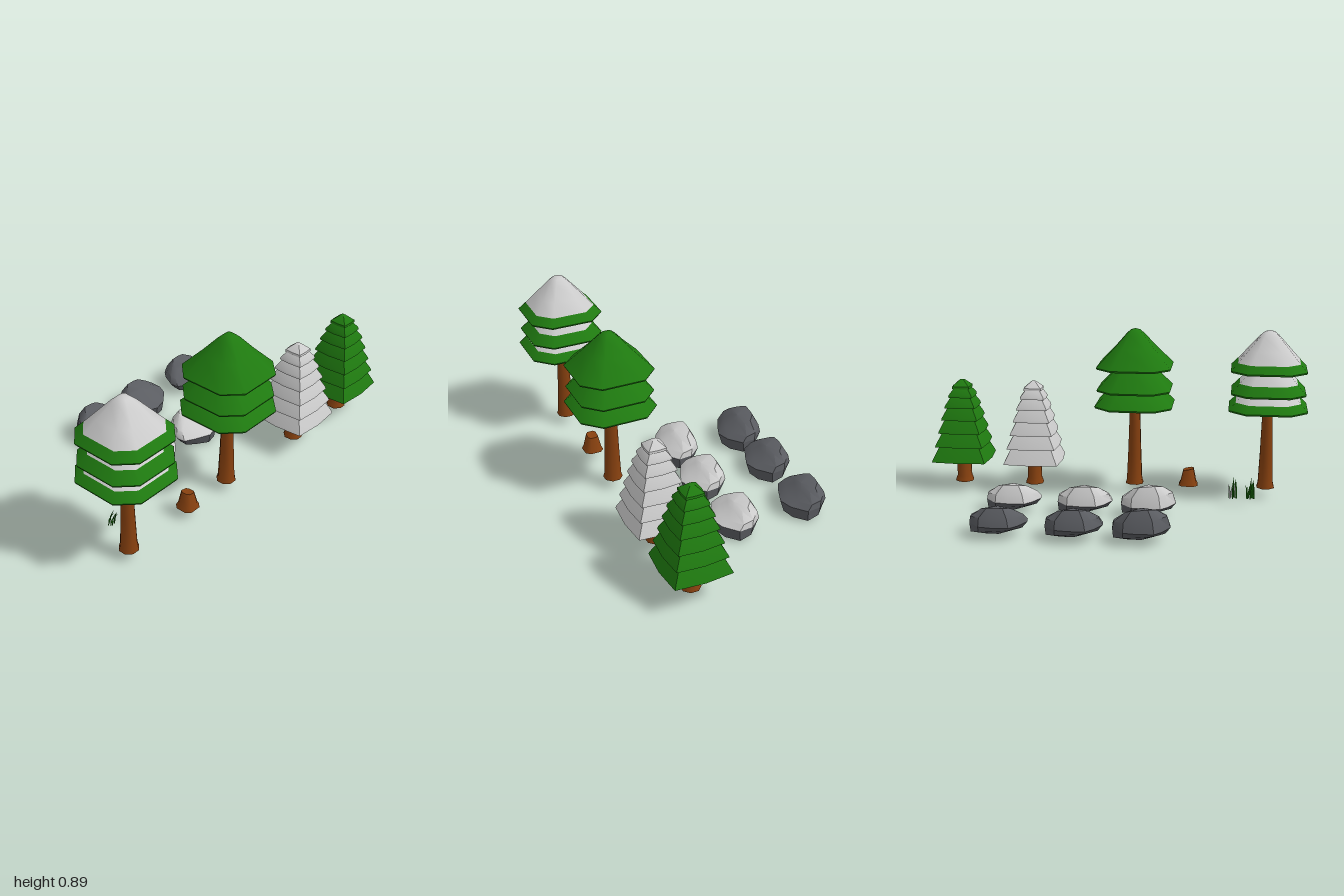
import * as THREE from 'three';
import { toCreasedNormals } from 'three/addons/utils/BufferGeometryUtils.js';

const mat = (color) => new THREE.MeshStandardMaterial({ color, roughness: 0.9, side: THREE.DoubleSide });
const GREEN = mat(0x1f7a10), BROWN = mat(0x86400f), STONE = mat(0x5a5c61), SNOW = mat(0xcccccc);

// Plan outlines running from +x towards +z
const turn4 = (pts) => [0, 1, 2, 3].flatMap((k) => pts.map(([x, z]) => {
  for (let i = 0; i < k; i++) [x, z] = [-z, x];
  return [x, z];
}));
const CHAMFERED = turn4([[1, -0.57], [1, 0.57]]);
const BOWED = turn4([[1, 0], [0.92, 0.92]]);
const BOULDER = [[1, 0.3], [0.5, 0.82], [0, 1], [-0.55, 0.72], [-0.96, 0.45], [-1, 0.05],
  [-0.75, -0.6], [-0.5, -0.96], [0.1, -1], [0.55, -0.92], [0.95, -0.35]];

// Skin over scaled copies of an outline; ring = [y, scaleX, scaleZ, shiftX, shiftZ, tiltX, tiltZ]
function loft(outline, rings, crease = 0.9) {
  const pos = [], n = outline.length;
  const point = ([y, sx, sz = sx, cx = 0, cz = 0, tx = 0, tz = 0], j) => {
    const [x, z] = outline[j % n];
    return [cx + x * sx, y + x * sx * tx + z * sz * tz, cz + z * sz];
  };
  for (let i = 0; i + 1 < rings.length; i++) {
    for (let j = 0; j < n; j++) {
      const a = point(rings[i], j), b = point(rings[i], j + 1);
      const c = point(rings[i + 1], j + 1), d = point(rings[i + 1], j);
      if (rings[i + 1][1] > 0) pos.push(...a, ...d, ...c);
      if (rings[i][1] > 0) pos.push(...a, ...(rings[i + 1][1] > 0 ? c : d), ...b);
    }
  }
  const g = new THREE.BufferGeometry();
  g.setAttribute('position', new THREE.Float32BufferAttribute(pos, 3));
  return toCreasedNormals(g, crease);
}

function add(parent, name, geometry, material) {
  const m = new THREE.Mesh(geometry, material);
  m.name = name;
  parent.add(m);
  return m;
}

function place(root, name, x, z) {
  const g = new THREE.Group();
  g.name = name;
  g.position.set(x, 0, z);
  root.add(g);
  return g;
}

// Eight-sided tapering wood from [radius, y] points
const wood = (profile) => toCreasedNormals(new THREE.LatheGeometry(
  profile.map(([r, y]) => new THREE.Vector2(r, y)), 8, Math.PI / 8), 0.9);

// Tall tree: bare trunk below three hollow skirts
function tallTree(root, name, x, snowy) {
  const g = place(root, name, x, 0.34);
  add(g, 'trunk', wood([[0, 0.065], [0.05, 0.065], [0.043, 0.09], [0.036, 0.25], [0.028, 0.5], [0.022, 0.72], [0, 0.72]]), BROWN);
  const skirts = [
    [[0.495, 0.203], [0.6, 0.11], [0.63, 0.03]],
    [[0.582, 0.192], [0.71, 0.083], [0.75, 0.03]],
    [[0.7, 0.195], [0.805, 0.106], [0.875, 0.047], [0.897, 0.024], [0.905, 0]],
  ];
  skirts.forEach((s, i) => {
    const [y0, r0] = s[0];
    const inner = [[y0 + 0.07, 0.1], [y0 + 0.012, r0 - 0.02]];
    add(g, 'foliage' + (i + 1), loft(CHAMFERED, [[y0 + 0.09, 0.02], ...inner, [y0, r0 - 0.004], [y0 + 0.009, r0], ...s.slice(1)]), GREEN);
    if (snowy) {
      const cover = s.slice(1).map(([y, r]) => [y + 0.003, r && r + 0.002]);
      add(g, 'snow' + (i + 1), loft(CHAMFERED, [[y0 + 0.009, r0 - 0.003], ...cover]), SNOW);
    }
  });
}

// Small tree: short trunk and seven stacked square tiers
function smallTree(root, name, x, snowy) {
  const g = place(root, name, x, 0.345);
  add(g, 'trunk', wood([[0, 0.045], [0.05, 0.045], [0.047, 0.058], [0.04, 0.075], [0.038, 0.2], [0, 0.2]]), BROWN);
  const tiers = [[0.177, 0.156], [0.258, 0.139], [0.33, 0.122], [0.4, 0.105], [0.463, 0.088], [0.518, 0.069], [0.563, 0.05], [0.607, 0]];
  for (let i = 0; i < 7; i++) {
    const [y, r] = tiers[i], [yn, rn] = tiers[i + 1];
    add(g, 'underside' + (i + 1), loft(BOWED, [[y + 0.012, 0], [y, r]]), GREEN);
    add(g, 'tier' + (i + 1), loft(BOWED, [[y, r], [y + 0.012, r * 0.97], [yn, i < 6 ? rn * 0.84 : 0.012], [yn + 0.003, 0]], 0.7), snowy ? SNOW : GREEN);
  }
}

// Boulder with its peak towards the back, split at mid height for the snow cap
function boulder(root, name, x, z, height, tiltX, snowy) {
  const g = place(root, name, x, z);
  const h = height / 0.2;
  add(g, 'lowerStone', loft(BOULDER, [
    [0.016, 0], [0.022, 0.07, 0.055, 0.02, 0.02, -0.06, -0.15],
    [0.04, 0.125, 0.095, 0.01, 0, -0.1, -0.2], [0.082, 0.14, 0.112]], 0.6), STONE);
  add(g, snowy ? 'snowCap' : 'upperStone', loft(BOULDER, [
    [0.082, 0.14, 0.112], [0.128 * h, 0.128, 0.085, 0.004, -0.015, tiltX, -0.12],
    [0.168 * h, 0.075, 0.05, 0, -0.025, tiltX, -0.35], [0.176 * h, 0]], 0.6), snowy ? SNOW : STONE);
}

// Tuft of thin bending blades
function grass(root, name, x, snowy) {
  const g = place(root, name, x, 0.15);
  for (let i = 0; i < 7; i++) {
    const a = i * 2.4, bx = 0.018 * Math.cos(a), bz = 0.012 * Math.sin(a);
    const tall = 0.06 + 0.045 * ((i * 3) % 7) / 6;
    const bend = 0.014 * Math.sin(i * 1.7);
    const rings = [[0, 0.0035], [0.4, 0.0045], [0.75, 0.003], [1, 0]].map(([t, r]) =>
      [0.055 + tall * t, r, r * 0.6, bx + bend * t * t, bz + 0.042 * t * t * tall / 0.105]);
    add(g, 'blade' + (i + 1), loft(turn4([[1, 0]]), rings), snowy && i % 2 ? SNOW : GREEN);
  }
}

export function createModel() {
  const root = new THREE.Group();
  root.name = 'forestSet';

  tallTree(root, 'snowyTallTree', -0.797, true);
  tallTree(root, 'greenTallTree', -0.099, false);
  smallTree(root, 'snowySmallTree', 0.448, true);
  smallTree(root, 'greenSmallTree', 0.839, false);

  // Stump with a slanted cut
  const stump = place(root, 'stump', -0.388, 0.34);
  add(stump, 'stumpWood', loft(CHAMFERED, [[0.065, 0], [0.065, 0.05], [0.085, 0.041],
    [0.152, 0.027, 0.027, 0, 0, -0.2, 0], [0.146, 0]]), BROWN);

  grass(root, 'greenGrass', -0.72, false);
  grass(root, 'snowyGrass', -0.63, true);

  // Two rows of three boulders
  for (const [row, z, snowy] of [['snowy', -0.06, true], ['bare', -0.438, false]]) {
    boulder(root, row + 'Boulder1', -0.208, z, 0.2, -0.12, snowy);
    boulder(root, row + 'Boulder2', 0.115, z, 0.185, -0.04, snowy);
    boulder(root, row + 'Boulder3', 0.48, z + 0.003, 0.18, -0.02, snowy);
  }
  return root;
}
